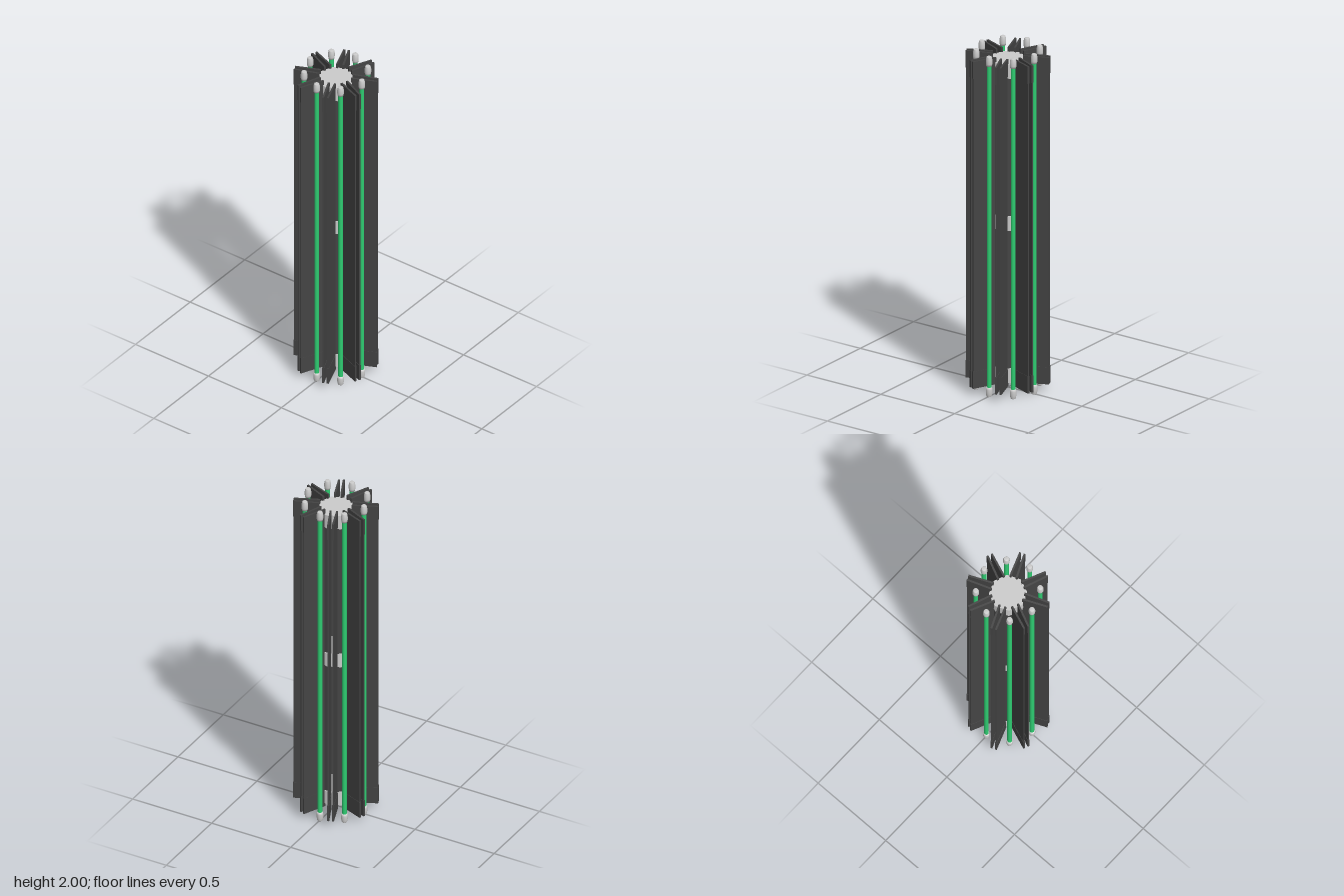
import * as THREE from 'three';

const dark = new THREE.MeshStandardMaterial({ color: 0x444444 });
const green = new THREE.MeshStandardMaterial({ color: 0x2ecc71 });
const grey = new THREE.MeshStandardMaterial({ color: 0xcccccc });

const BAYS = 8;
const ROD_RADIUS = 0.177;
const SPLAY = THREE.MathUtils.degToRad(24.5);

function add(parent, name, geometry, material, x = 0, y = 0, z = 0) {
  const mesh = new THREE.Mesh(geometry, material);
  mesh.name = name;
  mesh.position.set(x, y, z);
  parent.add(mesh);
  return mesh;
}

// Geometries shared by all bays
const panelGeo = new THREE.BoxGeometry(0.007, 1.9, 0.142);
const endPanelGeo = new THREE.BoxGeometry(0.011, 0.1, 0.146);
const backGeo = new THREE.BoxGeometry(0.038, 1.86, 0.008);
const rodGeo = new THREE.CylinderGeometry(0.013, 0.013, 1.92, 16);
const capGeo = new THREE.LatheGeometry(
  [[0, 0], [0.013, 0], [0.015, 0.003], [0.0185, 0.02], [0.0185, 0.042], [0.016, 0.055], [0, 0.055]]
    .map(([r, y]) => new THREE.Vector2(r, y)), 16);

// One open trough facing +z with its glowing rod
function makeBay() {
  const bay = new THREE.Group();
  bay.name = 'bay';
  for (const side of [-1, 1]) {
    const x = side * 0.048, z = 0.156;
    add(bay, 'sidePanel', panelGeo, dark, x, 1.0025, z).rotation.y = side * SPLAY;
    for (const y of [0.092, 1.915]) {
      add(bay, 'endPanel', endPanelGeo, dark, x, y, z).rotation.y = side * SPLAY;
    }
  }
  add(bay, 'backPanel', backGeo, dark, 0, 1, 0.093);
  add(bay, 'rod', rodGeo, green, 0, 1, ROD_RADIUS);
  add(bay, 'bottomCap', capGeo, grey, 0, 0, ROD_RADIUS);
  add(bay, 'topCap', capGeo, grey, 0, 2, ROD_RADIUS).rotation.x = Math.PI;
  return bay;
}

export function createModel() {
  const model = new THREE.Group();
  model.name = 'rodColumn';

  // Ring of troughs
  for (let i = 0; i < BAYS; i++) {
    const bay = makeBay();
    bay.rotation.y = (i / BAYS) * Math.PI * 2;
    model.add(bay);
  }

  // Octagonal spacers whose corners poke through the back panels
  const spacerGeo = new THREE.CylinderGeometry(0.105, 0.105, 0.085, BAYS);
  for (const y of [0.105, 1, 1.895]) add(model, 'spacer', spacerGeo, grey, 0, y, 0);

  return model;
}
